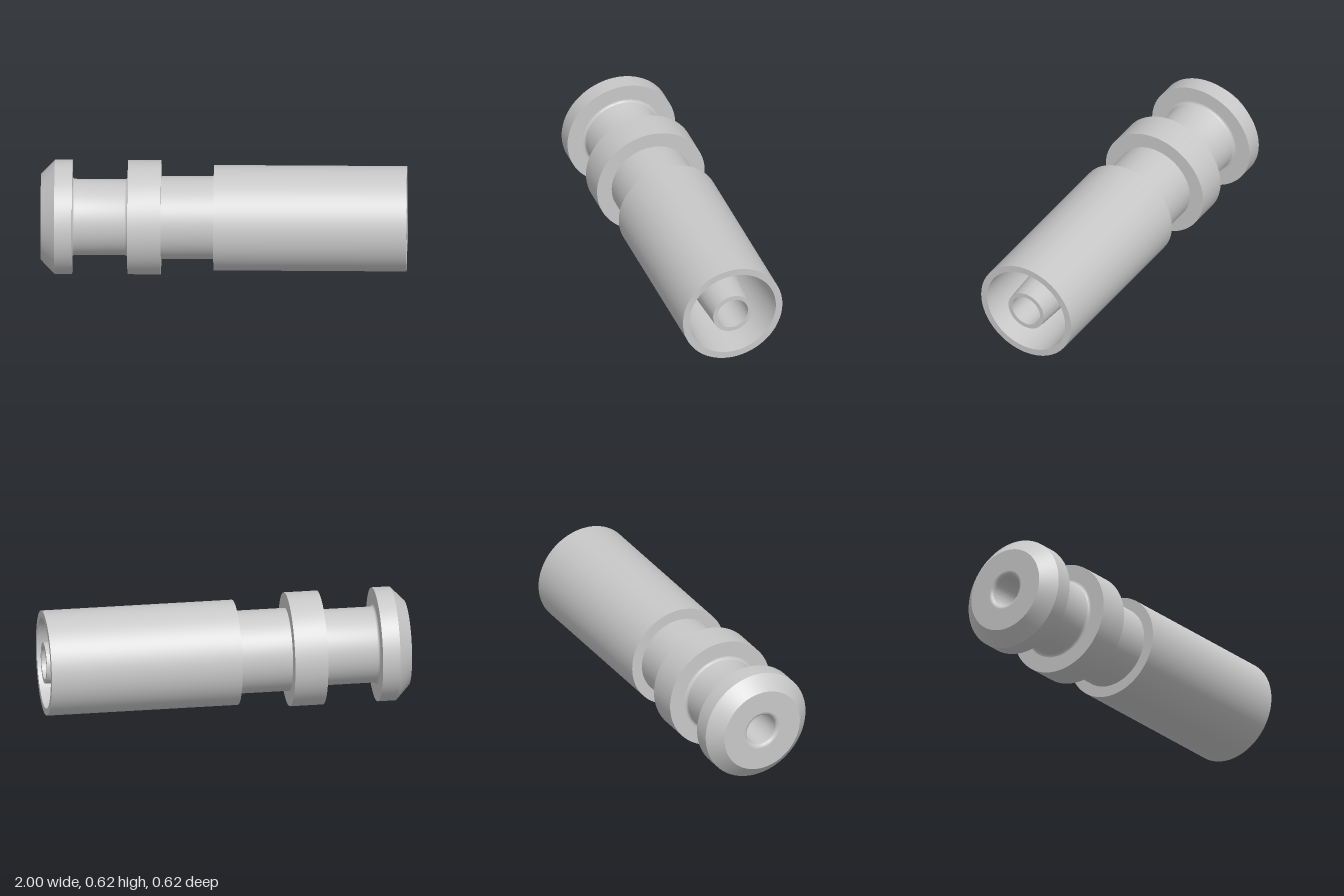
import * as THREE from 'three';
import { toCreasedNormals } from 'three/addons/utils/BufferGeometryUtils.js';

const AXIS_Y = 0.312;
const SEGMENTS = 96;

// Quarter-round fillet as [x, radius] points, between two angles
function fillet(cx, cr, size, from, to, steps = 5) {
  return Array.from({ length: steps + 1 }, (_, i) => {
    const a = from + ((to - from) * i) / steps;
    return [cx + size * Math.cos(a), cr + size * Math.sin(a)];
  });
}

export function createModel() {
  const group = new THREE.Group();
  group.name = 'tubeConnector';
  const grey = new THREE.MeshStandardMaterial({ color: 0xc8c8c8 });
  grey.name = 'light grey';

  // Turns a profile of [x, radius] points around the long axis
  function turned(name, profile) {
    const points = profile.map(([x, r]) => new THREE.Vector2(r, x));
    const lathe = new THREE.LatheGeometry(points, SEGMENTS);
    lathe.rotateZ(-Math.PI / 2);
    const mesh = new THREE.Mesh(toCreasedNormals(lathe, Math.PI / 6), grey);
    mesh.name = name;
    mesh.position.y = AXIS_Y;
    group.add(mesh);
  }

  const H = Math.PI / 2;

  // Chamfered end flange
  turned('endFlange', [[-1, 0.11], [-1, 0.235], [-0.925, 0.312], [-0.828, 0.312], [-0.828, 0.224]]);

  // Groove with rounded inner corners
  turned('groove', [
    ...fillet(-0.812, 0.224, 0.016, 2 * H, 3 * H),
    ...fillet(-0.541, 0.224, 0.016, 3 * H, 4 * H),
  ]);

  // Collar and plain neck
  turned('collar', [[-0.525, 0.224], [-0.525, 0.312], [-0.343, 0.312], [-0.343, 0.227]]);
  turned('neck', [[-0.343, 0.227], [-0.055, 0.227]]);

  // Sleeve with its open rim and tapered socket
  const floor = 0.45;
  turned('sleeve', [[-0.055, 0.227], [-0.055, 0.288], [1, 0.288], [1, 0.25]]);
  turned('socket', [[1, 0.25], [floor, 0.217], [floor, 0.14]]);

  // Tapered nozzle inside the socket
  turned('nozzle', [[floor, 0.14], [1, 0.113], [1, 0.089]]);

  // Through bore, flared at the flange end
  turned('bore', [
    [1, 0.089],
    ...fillet(-0.979, 0.11, 0.021, 3 * H, 2 * H),
  ]);

  return group;
}
